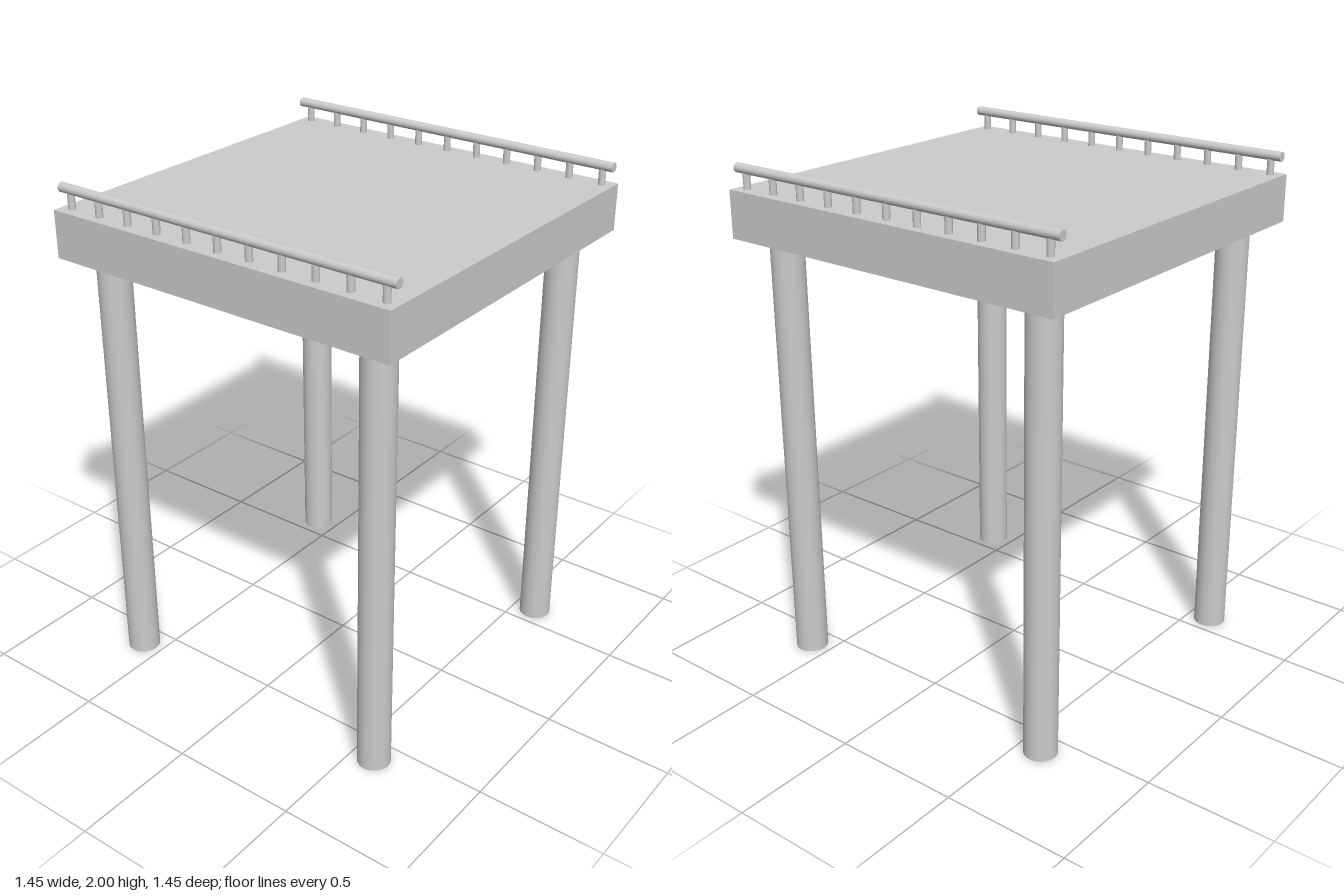
import * as THREE from 'three';

const U = 2 / 11; // one design unit; the table is 11 units tall

export function createModel() {
  const model = new THREE.Group();
  const material = new THREE.MeshStandardMaterial({ color: 0xcccccc });

  const add = (name, geometry, x, y, z) => {
    const mesh = new THREE.Mesh(geometry, material);
    mesh.name = name;
    mesh.position.set(x * U, y * U, z * U);
    model.add(mesh);
    return mesh;
  };

  // Square deck
  add('deck', new THREE.BoxGeometry(8 * U, U, 8 * U), 0, 10, 0);

  // Four round legs
  const leg = new THREE.CylinderGeometry(0.35 * U, 0.35 * U, 9.5 * U, 32);
  for (const x of [-3.25, 3.25]) {
    for (const z of [-3.25, 3.25]) add('leg', leg, x, 4.75, z);
  }

  // Railings along the front and back edges
  const rail = new THREE.CylinderGeometry(0.1 * U, 0.1 * U, 8 * U, 24).rotateZ(Math.PI / 2);
  const baluster = new THREE.CylinderGeometry(0.075 * U, 0.075 * U, 0.4 * U, 16);
  for (const z of [-3.75, 3.75]) {
    add('rail', rail, 0, 10.9, z);
    for (let i = -5; i <= 5; i++) add('baluster', baluster, i * 0.75, 10.7, z);
  }

  return model;
}
